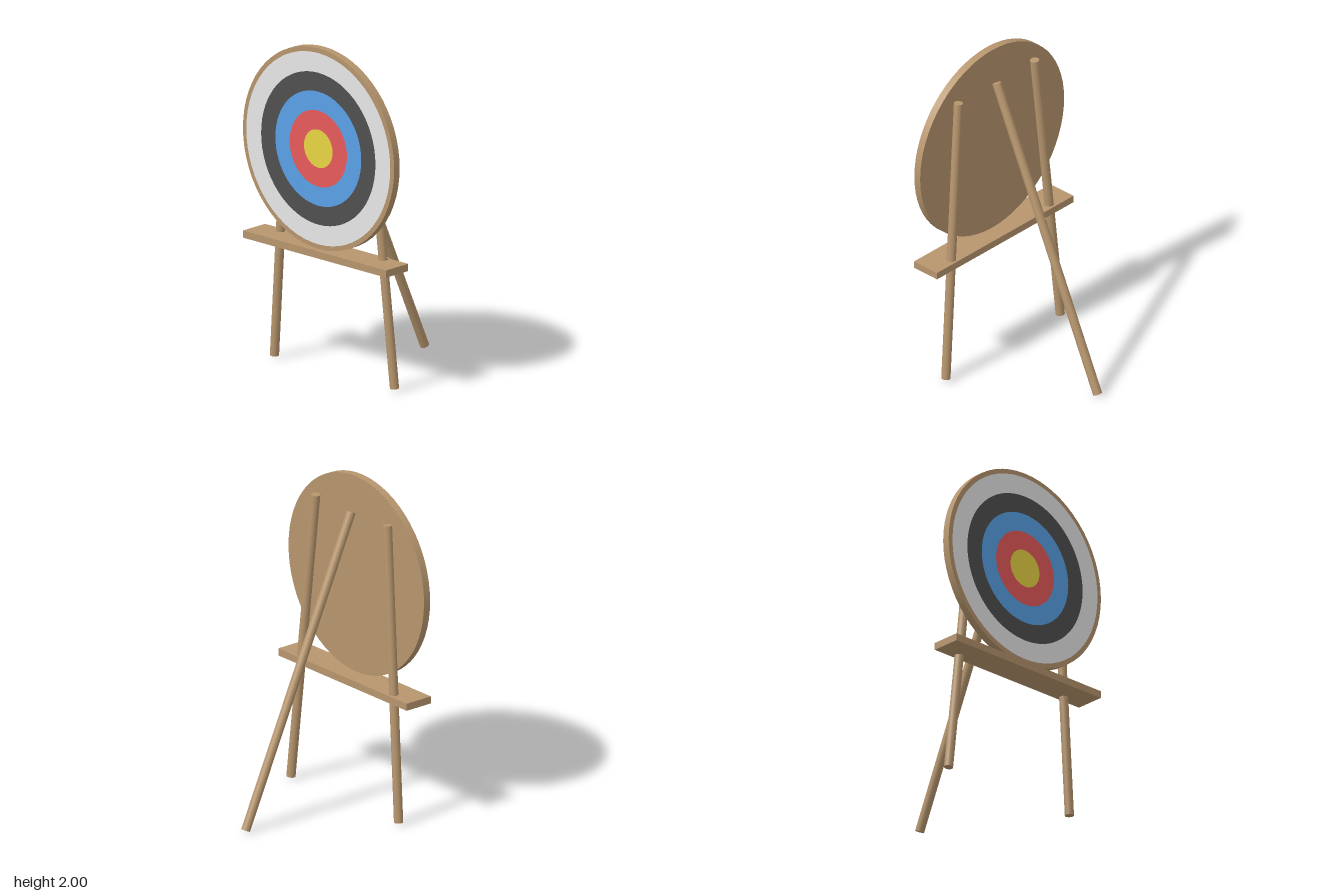
import * as THREE from 'three';

const mat = (name, color) => {
  const m = new THREE.MeshStandardMaterial({ color });
  m.name = name;
  return m;
};

export function createModel() {
  const group = new THREE.Group();
  const wood = mat('wood', 0xb7966e);

  const add = (name, geometry, material) => {
    const mesh = new THREE.Mesh(geometry, material);
    mesh.name = name;
    group.add(mesh);
    return mesh;
  };

  // Round pole between two points
  const pole = (name, foot, top) => {
    const a = new THREE.Vector3(...foot), b = new THREE.Vector3(...top);
    const dir = b.clone().sub(a);
    const mesh = add(name, new THREE.CylinderGeometry(0.027, 0.027, dir.length(), 20), wood);
    mesh.position.copy(a).add(b).multiplyScalar(0.5);
    mesh.quaternion.setFromUnitVectors(new THREE.Vector3(0, 1, 0), dir.normalize());
  };

  // Tripod legs
  for (const [name, s] of [['leftLeg', 1], ['rightLeg', -1]]) {
    pole(name, [0.482 * s, 0.016, 0.305], [0.321 * s, 1.8, 0.357]);
  }
  pole('backLeg', [0, 0.012, -0.446], [0, 1.79, 0.355]);

  // Shelf carrying the target
  add('shelf', new THREE.BoxGeometry(1.15, 0.044, 0.183), wood).position.set(0, 0.763, 0.379);

  // Target board
  const cy = 1.393;
  const board = add('targetBoard', new THREE.CylinderGeometry(0.607, 0.607, 0.046, 64), wood);
  board.rotation.x = Math.PI / 2;
  board.position.set(0, cy, 0.415);

  // Painted rings, outermost first, ending in the bullseye
  const rings = [
    ['white', 0xf0f0f0, 0.578],
    ['black', 0x4f4f4f, 0.459],
    ['blue', 0x5ea8f0, 0.345],
    ['red', 0xf05e5e, 0.23],
    ['yellow', 0xf0dc46, 0.115],
  ];
  rings.forEach(([name, color, outer], i) => {
    const inner = rings[i + 1]?.[2];
    const geometry = inner ? new THREE.RingGeometry(inner, outer, 64) : new THREE.CircleGeometry(outer, 64);
    add(inner ? name + 'Ring' : 'bullseye', geometry, mat(name, color)).position.set(0, cy, 0.44);
  });

  return group;
}
